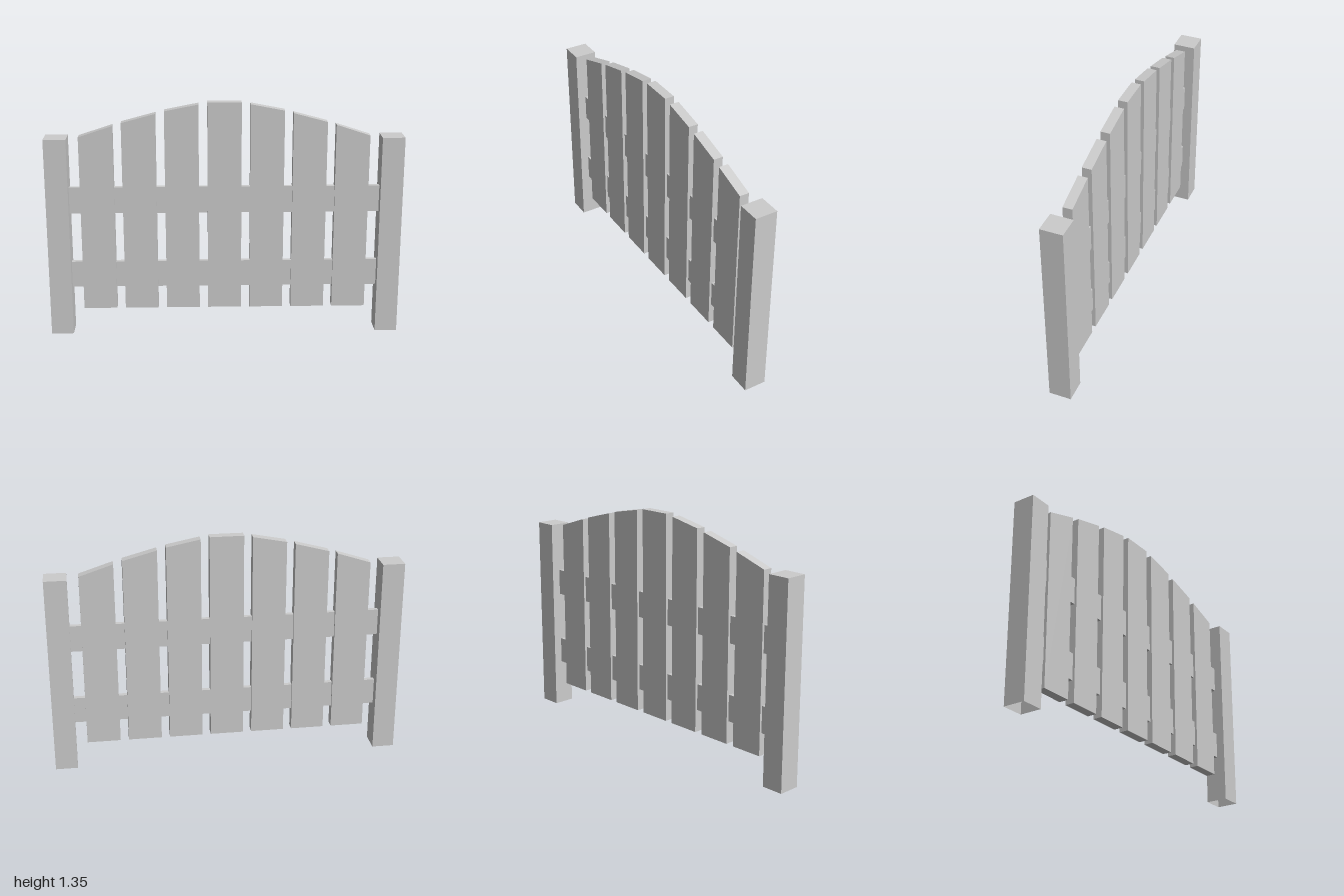
import * as THREE from 'three';

export function createModel() {
  const gate = new THREE.Group();
  gate.name = 'picketFence';
  const wood = new THREE.MeshStandardMaterial({ color: 0xcccccc, flatShading: true });
  const shell = new THREE.MeshStandardMaterial({ color: 0xcccccc, flatShading: true, side: THREE.DoubleSide });

  const add = (name, geometry, material, x, y, z) => {
    const mesh = new THREE.Mesh(geometry, material);
    mesh.name = name;
    mesh.position.set(x, y, z);
    gate.add(mesh);
  };

  // Square end posts, open underneath
  const postHeight = 1.15;
  const postGeometry = new THREE.BoxGeometry(0.126, postHeight, 0.126);
  const index = Array.from(postGeometry.index.array);
  index.splice(18, 6); // drop the bottom face
  postGeometry.setIndex(index);
  postGeometry.clearGroups();
  for (const side of [-1, 1]) {
    add(side > 0 ? 'leftPost' : 'rightPost', postGeometry, shell, side * 0.937, postHeight / 2, 0);
  }

  // Two horizontal rails running between the posts
  const railGeometry = new THREE.BoxGeometry(1.75, 0.152, 0.027);
  add('lowerRail', railGeometry, wood, 0, 0.346, 0);
  add('upperRail', railGeometry, wood, 0, 0.787, 0);

  // Pickets with sloping tops that follow an arch: [inner top, outer top]
  const tops = [[1.345, 1.345], [1.335, 1.298], [1.284, 1.233], [1.217, 1.155]];
  const bottom = 0.142, half = 0.095, depth = 0.054, pitch = 0.2385;
  for (let i = -3; i <= 3; i++) {
    const [inner, outer] = tops[Math.abs(i)];
    const [low, high] = i < 0 ? [outer, inner] : [inner, outer];
    const outline = new THREE.Shape([
      new THREE.Vector2(-half, bottom),
      new THREE.Vector2(half, bottom),
      new THREE.Vector2(half, high),
      new THREE.Vector2(-half, low),
    ]);
    const picket = new THREE.ExtrudeGeometry(outline, { depth, bevelEnabled: false });
    add(`picket${i + 4}`, picket, wood, i * pitch, 0, -depth / 2);
  }
  return gate;
}
